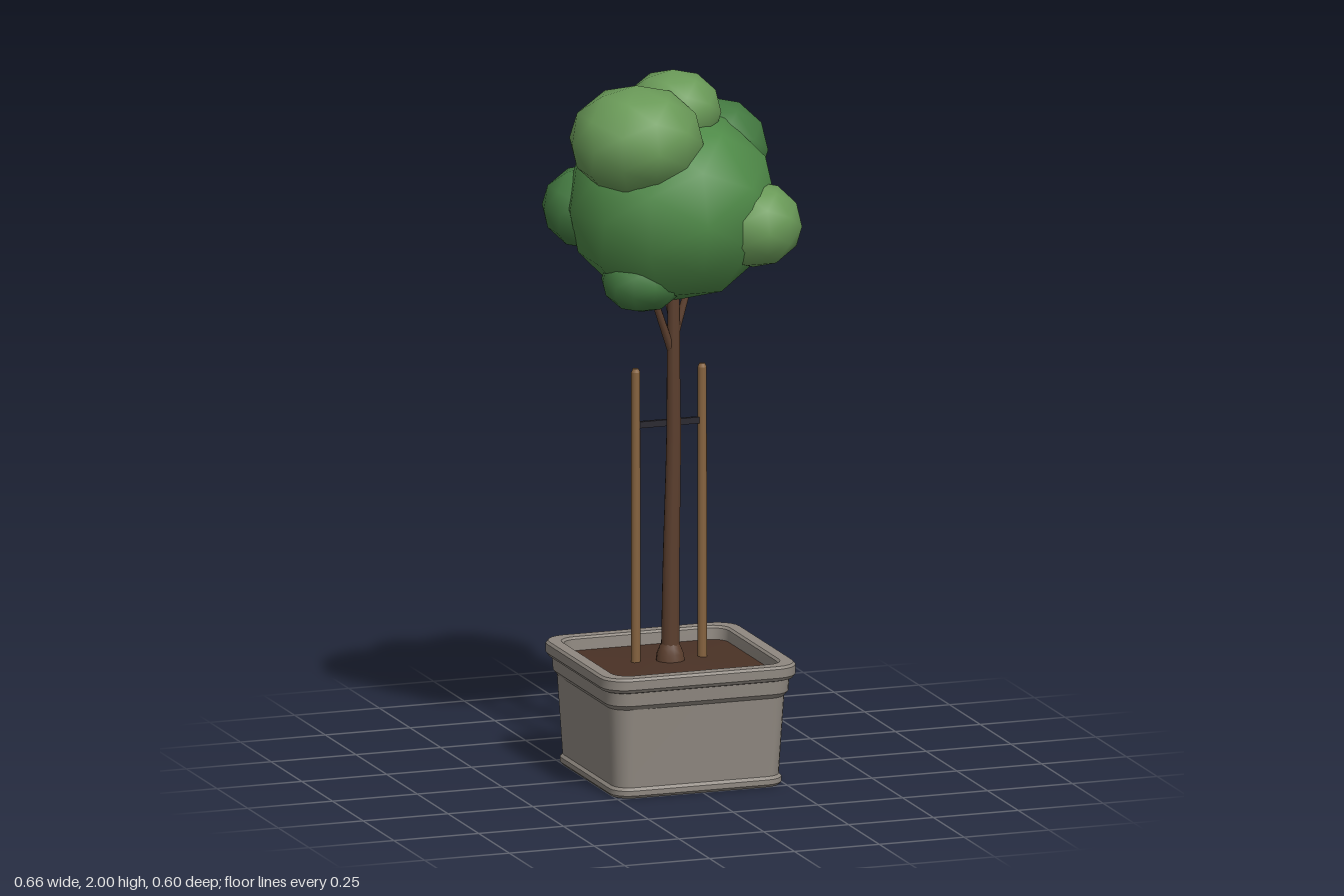
import * as THREE from 'three';
import { toCreasedNormals } from 'three/addons/utils/BufferGeometryUtils.js';

const mat = (color) => new THREE.MeshStandardMaterial({ color, roughness: 0.9 });
const V = (x, y, z) => new THREE.Vector3(x, y, z);

function addMesh(parent, name, geometry, material) {
  const mesh = new THREE.Mesh(geometry, material);
  mesh.name = name;
  parent.add(mesh);
  return mesh;
}

// Rounded-square cross-sections stacked along a profile of [half width, y, corner radius]
function roundedSquareLoft(profile, steps = 5) {
  const pos = [], index = [];
  const n = 4 * (steps + 1);
  for (const [half, y, r] of profile) {
    for (let c = 0; c < 4; c++) {
      const mid = Math.PI / 4 + c * Math.PI / 2;
      const cx = Math.sign(Math.cos(mid)) * (half - r);
      const cz = Math.sign(Math.sin(mid)) * (half - r);
      for (let s = 0; s <= steps; s++) {
        const a = (c + s / steps) * Math.PI / 2;
        pos.push(cx + r * Math.cos(a), y, cz + r * Math.sin(a));
      }
    }
  }
  for (let j = 0; j < profile.length - 1; j++) {
    for (let i = 0; i < n; i++) {
      const a = j * n + i, b = j * n + (i + 1) % n;
      index.push(a, a + n, b, b, a + n, b + n);
    }
  }
  const geo = new THREE.BufferGeometry();
  geo.setAttribute('position', new THREE.Float32BufferAttribute(pos, 3));
  geo.setIndex(index);
  return toCreasedNormals(geo, 0.5);
}

// Tapered round limb between two points
function limb(parent, name, from, to, r0, r1, material, sides = 10) {
  const dir = to.clone().sub(from);
  const mesh = addMesh(parent, name, new THREE.CylinderGeometry(r1, r0, dir.length(), sides), material);
  mesh.position.copy(from).add(to).multiplyScalar(0.5);
  mesh.quaternion.setFromUnitVectors(V(0, 1, 0), dir.normalize());
  return mesh;
}

// Tube whose radius follows a list of radii along the path
function taperedTube(points, radii, sides = 10) {
  const curve = new THREE.CatmullRomCurve3(points);
  const segs = 20;
  const geo = new THREE.TubeGeometry(curve, segs, 1, sides);
  const p = geo.attributes.position;
  for (let i = 0; i <= segs; i++) {
    const c = curve.getPointAt(i / segs);
    const r = THREE.MathUtils.lerp(radii[0], radii[1], i / segs);
    for (let k = 0; k <= sides; k++) {
      const id = i * (sides + 1) + k;
      const v = V().fromBufferAttribute(p, id).sub(c).multiplyScalar(r).add(c);
      p.setXYZ(id, v.x, v.y, v.z);
    }
  }
  geo.computeBoundingSphere();
  return geo;
}

export function createModel() {
  const model = new THREE.Group();
  model.name = 'pottedTree';
  const stone = mat(0x8f8880), soilMat = mat(0x4a3226), bark = mat(0x5c3f2e);
  const wood = mat(0x86633f), strap = mat(0x2a2830);
  const leaf = { mid: mat(0x4f8a48), dark: mat(0x447a41), light: mat(0x6a9a58) };

  // Planter: foot, tapered wall, collar, rim and inner wall
  const planter = new THREE.Group();
  planter.name = 'planter';
  planter.position.set(-0.006, 0, 0.008);
  model.add(planter);
  addMesh(planter, 'pot', roundedSquareLoft([
    [0, 0, 0], [0.245, 0, 0.05], [0.252, 0.008, 0.055], [0.252, 0.022, 0.055], [0.245, 0.03, 0.05],
    [0.258, 0.255, 0.055], [0.268, 0.268, 0.06], [0.27, 0.305, 0.06],
    [0.279, 0.308, 0.065], [0.286, 0.318, 0.07], [0.286, 0.343, 0.07], [0.28, 0.35, 0.065],
    [0.248, 0.35, 0.05], [0.242, 0.344, 0.048], [0.238, 0.29, 0.045],
  ]), stone);
  addMesh(planter, 'soil', roundedSquareLoft([
    [0.241, 0.312, 0.045], [0.15, 0.32, 0.05], [0.06, 0.325, 0.05], [0, 0.326, 0],
  ]), soilMat);

  // Trunk with flared foot and a fork of branches
  const trunk = new THREE.Group();
  trunk.name = 'trunk';
  model.add(trunk);
  addMesh(trunk, 'stem', taperedTube([
    V(-0.008, 0.32, 0.01), V(-0.006, 0.6, 0.012), V(0.0, 0.95, 0.015),
    V(0.0, 1.2, 0.014), V(0.002, 1.5, 0.012),
  ], [0.027, 0.016]), bark);
  const flare = [[0.042, 0.315], [0.038, 0.345], [0.031, 0.362], [0.026, 0.372]];
  addMesh(trunk, 'rootFlare', new THREE.LatheGeometry(flare.map((q) => new THREE.Vector2(...q)), 12), bark)
    .position.set(-0.008, 0, 0.01);
  limb(trunk, 'branch', V(0, 1.19, 0.013), V(-0.085, 1.42, 0.04), 0.012, 0.009, bark, 8);
  limb(trunk, 'branch', V(0.002, 1.24, 0.013), V(0.06, 1.42, 0.0), 0.012, 0.009, bark, 8);
  limb(trunk, 'branch', V(0.001, 1.27, 0.012), V(-0.01, 1.43, -0.05), 0.011, 0.008, bark, 8);

  // Two support stakes joined by a strap
  for (const x of [-0.103, 0.093]) {
    limb(model, 'stake', V(x, 0.3, -0.009), V(x, 1.148, -0.009), 0.0135, 0.0125, wood);
    limb(model, 'stakeTip', V(x, 1.148, -0.009), V(x, 1.158, -0.009), 0.0125, 0.008, wood);
  }
  const tie = addMesh(model, 'tie', new THREE.BoxGeometry(0.196, 0.018, 0.012), strap);
  tie.position.set(-0.005, 0.997, -0.009);

  // Crown: squashed leaf clumps [x, y, z, radius, half height, shade]
  const crown = new THREE.Group();
  crown.name = 'crown';
  model.add(crown);
  const clumps = [
    [0, 1.62, 0, 0.3, 0.275, 'mid'],
    [-0.133, 1.83, 0.08, 0.19, 0.157, 'light'],
    [0.145, 1.75, -0.095, 0.167, 0.142, 'dark'],
    [0.009, 1.885, -0.015, 0.137, 0.115, 'light'],
    [0.188, 1.58, 0.143, 0.139, 0.122, 'light'],
    [-0.19, 1.6, -0.13, 0.14, 0.12, 'dark'],
    [0.125, 1.44, -0.08, 0.11, 0.092, 'dark'],
    [-0.115, 1.43, 0.075, 0.115, 0.09, 'dark'],
    [0.045, 1.765, 0.085, 0.1, 0.09, 'mid'],
  ];
  for (const [x, y, z, r, ry, shade] of clumps) {
    const clump = addMesh(crown, 'leafClump', new THREE.IcosahedronGeometry(1, 1), leaf[shade]);
    clump.position.set(x, y, z);
    clump.scale.set(r, ry, r);
  }
  return model;
}
